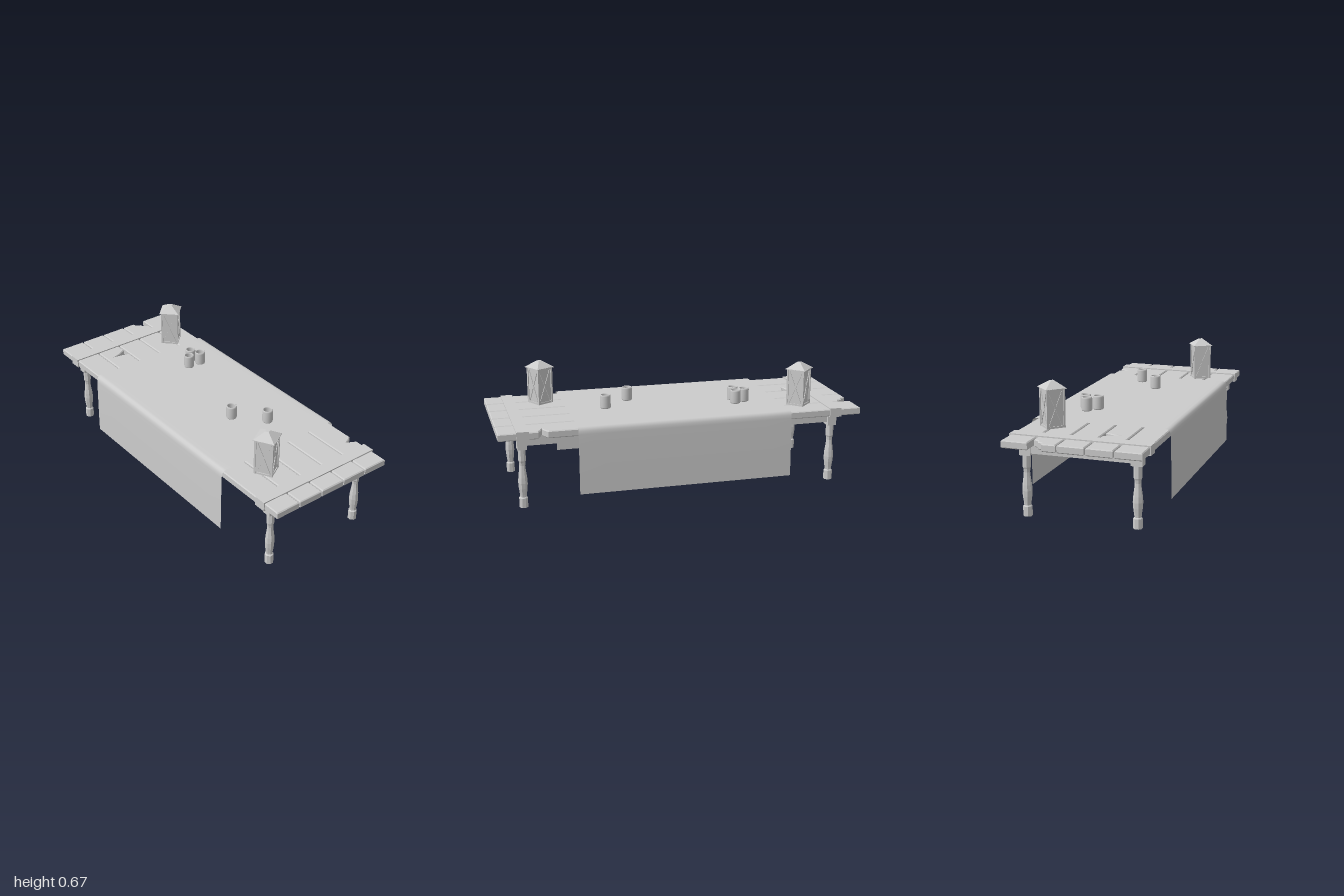
import * as THREE from 'three';

const grey = new THREE.MeshStandardMaterial({ color: 0xcccccc, flatShading: true });
const smooth = new THREE.MeshStandardMaterial({ color: 0xcccccc, side: THREE.DoubleSide });
const flatSheet = new THREE.MeshStandardMaterial({ color: 0xcccccc, flatShading: true, side: THREE.DoubleSide });

function add(parent, name, geometry, x = 0, y = 0, z = 0, material = grey) {
  const mesh = new THREE.Mesh(geometry, material);
  mesh.name = name;
  mesh.position.set(x, y, z);
  parent.add(mesh);
  return mesh;
}
const box = (w, h, d) => new THREE.BoxGeometry(w, h, d);
const points = list => list.map(([x, y]) => new THREE.Vector2(x, y));

// Bevelled board seen from above; outline points are (x, z)
function plankGeometry(outline) {
  const bevel = 0.005;
  const geo = new THREE.ExtrudeGeometry(new THREE.Shape(points(outline)), {
    depth: 0.03, bevelThickness: bevel, bevelSize: bevel, bevelOffset: -bevel, bevelSegments: 1,
  });
  return geo.rotateX(Math.PI / 2);
}

// Five planks, some with broken edges
function createTabletop() {
  const top = new THREE.Group();
  top.name = 'tabletop';
  const pitch = 0.147, half = 0.07;
  // Extra points on the back edge, the front edge or the left end of a plank
  const backChips = {
    0: [[0.79, -0.364], [0.775, -0.335], [0.765, -0.312], [0.757, -0.335], [0.738, -0.364]],
    3: [[-0.71, 0.077], [-0.722, 0.12], [-0.728, 0.172], [-0.742, 0.12], [-0.765, 0.077]],
  };
  for (let i = 0; i < 5; i++) {
    const zc = (i - 2) * pitch, z0 = zc - half, z1 = zc + half;
    const corner = i === 1
      ? [[-0.93, z0], [-0.945, z0 + 0.03], [-0.965, z0 + 0.035], [-0.975, z0 + 0.06], [-1, z0 + 0.068]]
      : [[-1, z0]];
    const outline = [[-1, z1], [1, z1], [1, z0], ...(backChips[i] || []), ...corner];
    add(top, 'plank', plankGeometry(outline), 0, 0.423, 0);
  }
  for (const x of [-0.853, 0.872]) add(top, 'crossBatten', box(0.066, 0.05, 0.74), x, 0.409, 0);
  return top;
}

// Turned octagonal leg with a square block on top
function createLeg(x, z) {
  const leg = new THREE.Group();
  leg.name = 'leg';
  leg.position.set(x, 0, z);
  const profile = points([
    [0, 0], [0.024, 0], [0.024, 0.052], [0.018, 0.058], [0.019, 0.07], [0.024, 0.105], [0.026, 0.135],
    [0.024, 0.165], [0.018, 0.21], [0.016, 0.232], [0.018, 0.25], [0.021, 0.258], [0.021, 0.33],
  ]);
  add(leg, 'turnedPost', new THREE.LatheGeometry(profile, 8, Math.PI / 8));
  add(leg, 'legBlock', box(0.05, 0.066, 0.06), 0, 0.355, 0);
  return leg;
}

// Draped cloth: one cross-section swept along x
function createCloth() {
  const side = [[0.385, 0.073], [0.384, 0.2], [0.382, 0.33], [0.381, 0.4], [0.379, 0.418],
    [0.374, 0.43], [0.365, 0.438], [0.35, 0.441], [0.3, 0.44]];
  const section = [...side, [0, 0.438], ...side.map(([z, y]) => [-z, y]).reverse()];
  const columns = 8;
  const geo = new THREE.PlaneGeometry(1.174, 1, columns, section.length - 1);
  const pos = geo.attributes.position;
  for (let i = 0; i < pos.count; i++) {
    const [z, y] = section[section.length - 1 - Math.floor(i / (columns + 1))];
    pos.setXYZ(i, pos.getX(i) - 0.002, y, z);
  }
  geo.computeVertexNormals();
  return geo;
}

// Lantern: panelled box, crossed bars on each face, hipped roof
function createLantern(x, z, turn) {
  const lantern = new THREE.Group();
  lantern.name = 'lantern';
  lantern.position.set(x, 0.432, z);
  lantern.rotation.y = turn;
  add(lantern, 'panels', box(0.09, 0.2, 0.09), 0, 0.101, 0);
  for (const sx of [-1, 1]) {
    for (const sz of [-1, 1]) add(lantern, 'cornerPost', box(0.01, 0.202, 0.01), sx * 0.0455, 0.101, sz * 0.0455);
  }
  for (let i = 0; i < 4; i++) {
    const face = new THREE.Group();
    face.name = 'lanternFace';
    face.rotation.y = i * Math.PI / 2;
    for (const y of [0.005, 0.197]) add(face, 'faceRail', box(0.082, 0.01, 0.008), 0, y, 0.0455);
    for (const s of [-1, 1]) {
      add(face, 'crossBar', box(0.008, 0.2, 0.005), 0, 0.101, 0.0465).rotation.z = s * Math.atan(0.075 / 0.185);
    }
    lantern.add(face);
  }
  const roof = new THREE.CylinderGeometry(0.014, 0.0815, 0.036, 4).rotateY(Math.PI / 4);
  add(lantern, 'roof', roof, 0, 0.222, 0);
  add(lantern, 'eaves', box(0.115, 0.004, 0.115), 0, 0.203, 0);
  return lantern;
}

export function createModel() {
  const model = new THREE.Group();
  model.name = 'banquetTable';
  model.add(createTabletop());

  // Legs and the frame between them
  const legX = [-0.853, 0.872], legZ = 0.294;
  for (const x of legX) {
    for (const s of [-1, 1]) model.add(createLeg(x, s * legZ));
    add(model, 'endRail', box(0.035, 0.055, 2 * legZ), x, 0.361, 0);
  }
  for (const s of [-1, 1]) {
    add(model, 'sideRail', box(legX[1] - legX[0], 0.048, 0.035), (legX[0] + legX[1]) / 2, 0.365, s * legZ);
  }

  add(model, 'tablecloth', createCloth(), 0, 0, 0, smooth);

  // Cups with rounded edges and an open hollow
  const cup = new THREE.LatheGeometry(points([
    [0, 0], [0.023, 0], [0.027, 0.002], [0.029, 0.007], [0.029, 0.068], [0.0275, 0.074], [0.025, 0.076],
    [0.023, 0.074], [0.022, 0.068], [0.022, 0.012], [0.019, 0.007], [0, 0.007],
  ]), 20);
  for (const [x, z] of [[-0.39, -0.147], [-0.333, -0.175], [-0.34, -0.1], [0.383, -0.09], [0.235, 0.04]]) {
    add(model, 'cup', cup, x, 0.45, z, smooth);
  }

  model.add(createLantern(-0.688, -0.219, Math.PI / 4));
  model.add(createLantern(0.7, 0.184, Math.PI / 6));

  // Torn scraps lying on the cloth
  const scraps = [
    [[-0.176, -0.333], [-0.12, -0.295], [-0.11, -0.235], [-0.065, -0.228], [-0.1, -0.205], [-0.15, -0.21],
      [-0.182, -0.245], [-0.17, -0.285]],
    [[-0.15, -0.175], [-0.105, -0.22], [-0.09, -0.17], [-0.095, -0.115], [-0.12, -0.15]],
  ];
  for (const outline of scraps) {
    const geo = new THREE.ShapeGeometry(new THREE.Shape(points(outline))).rotateX(Math.PI / 2);
    add(model, 'scrap', geo, 0, 0.4435, 0, flatSheet);
  }
  return model;
}
